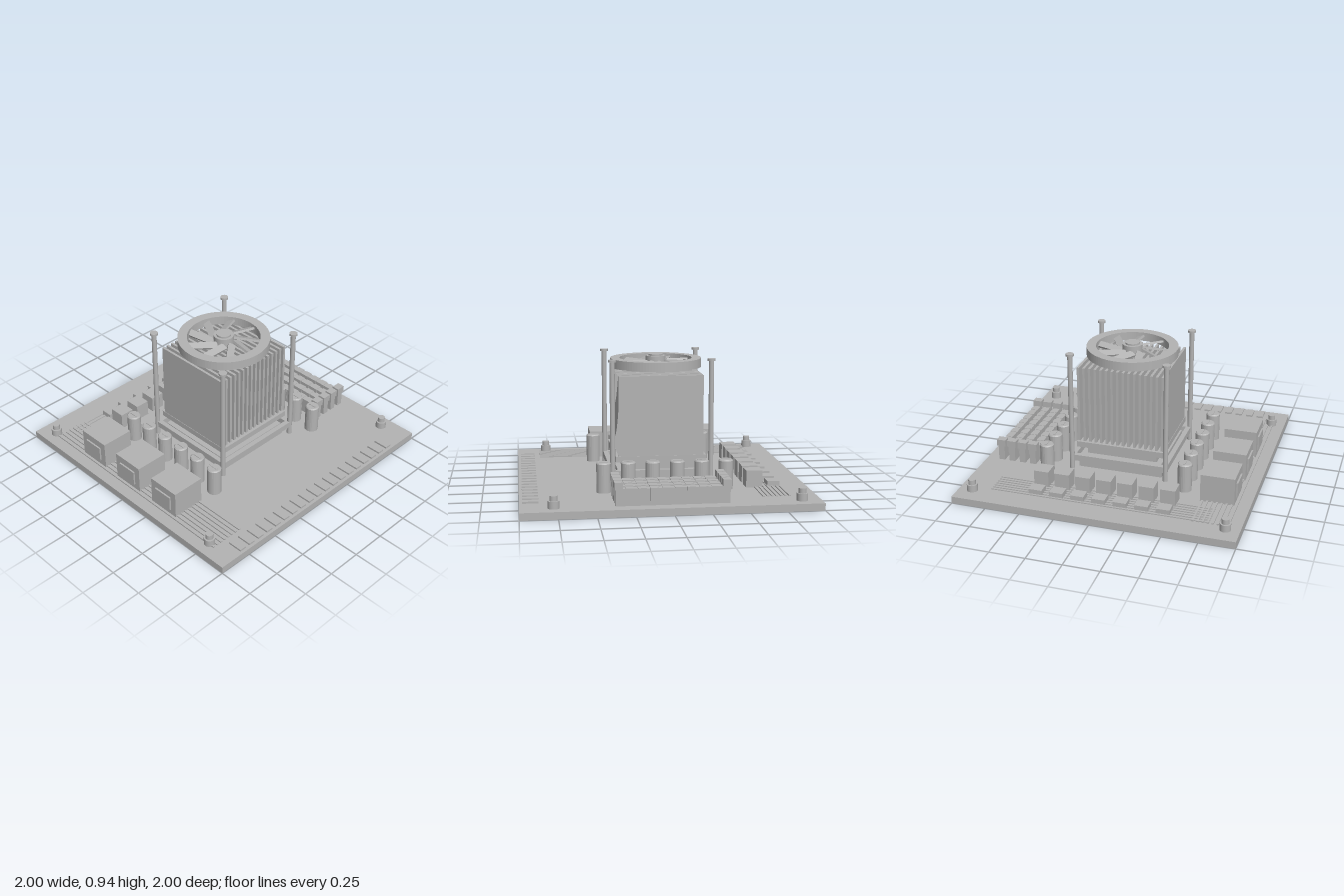
import * as THREE from 'three';

const grey = new THREE.MeshStandardMaterial({ color: 0xb3b3b3 });
grey.name = 'plain grey';

export function createModel() {
  const model = new THREE.Group();
  model.name = 'circuitBoard';

  const add = (name, geo, x, y, z, parent = model) => {
    const m = new THREE.Mesh(geo, grey);
    m.name = name;
    m.position.set(x, y, z);
    parent.add(m);
    return m;
  };
  // box given by centre x/z, size x/z and bottom/top heights
  const box = (name, x, z, w, d, y0, y1, parent) =>
    add(name, new THREE.BoxGeometry(w, y1 - y0, d), x, (y0 + y1) / 2, z, parent);
  // upright cylinder between two heights
  const cyl = (name, x, z, r, y0, y1, sides = 24, parent) =>
    add(name, new THREE.CylinderGeometry(r, r, y1 - y0, sides), x, (y0 + y1) / 2, z, parent);

  box('board', 0, 0, 2, 2, 0, 0.05);

  // corner standoffs
  for (const x of [-0.9, 0.9]) for (const z of [-0.868, 0.778]) {
    cyl('standoffBase', x, z, 0.038, 0.05, 0.1);
    cyl('standoffTop', x, z, 0.026, 0.1, 0.135);
  }

  // edge contacts along the front
  for (let i = 0; i < 19; i++) box('edgeContact', -0.787 + i * 0.0847, 0.925, 0.05, 0.108, 0.05, 0.063);

  // long and cross traces
  for (let i = 0; i < 8; i++) box('sideTrace', -0.908 + i * 0.0342, 0, 0.014, 1.66, 0.05, 0.059);
  for (let i = 0; i < 7; i++) box('backTrace', 0, -0.815 + i * 0.03, 1.56, 0.014, 0.05, 0.057);

  // port housings with raised outer panels
  for (const z of [-0.427, -0.056, 0.316]) {
    box('portHousing', -0.77, z, 0.24, 0.243, 0.05, 0.25);
    box('portPanel', -0.896, z, 0.012, 0.15, 0.09, 0.198);
  }

  // capacitors with bevelled rims
  const capProfile = [[0, 0.05], [0.05, 0.05], [0.05, 0.25], [0.043, 0.258], [0, 0.258]]
    .map(([r, y]) => new THREE.Vector2(r, y));
  const capGeo = new THREE.LatheGeometry(capProfile, 24).toNonIndexed();
  capGeo.computeVertexNormals();
  for (const x of [-0.51, 0.51]) for (let i = 0; i < 6; i++) {
    const z = -0.425 + i * 0.1695;
    add('capacitor', capGeo, x, 0, z);
    box('capacitorMark', x, z, 0.012, 0.06, 0.256, 0.262);
  }

  // power blocks in two rows at the back
  for (let i = 0; i < 7; i++) {
    box('lowBlock', -0.458 + i * 0.1525, -0.765, 0.095, 0.086, 0.05, 0.09);
    box('tallBlock', -0.458 + i * 0.1525, -0.628, 0.106, 0.114, 0.05, 0.17);
  }

  // memory slots with end clips and chips
  for (let i = 0; i < 4; i++) {
    const x = 0.643 + i * 0.081;
    box('memorySlot', x, -0.002, 0.046, 0.76, 0.05, 0.165);
    for (const z of [-0.36, 0.357]) box('memoryClip', x, z, 0.066, 0.056, 0.16, 0.21);
    for (let k = 0; k < 8; k++) box('memoryChip', x, -0.285 + k * 0.081, 0.054, 0.055, 0.08, 0.168);
  }

  // processor socket and frame
  box('socketBase', 0, 0, 0.62, 0.62, 0.05, 0.11);
  box('processorPlate', 0, 0, 0.6, 0.6, 0.11, 0.14);
  box('processor', 0, 0, 0.52, 0.52, 0.14, 0.21);
  for (const s of [-1, 1]) {
    box('frameRail', 0, s * 0.34, 0.68, 0.036, 0.115, 0.16);
    box('frameRail', s * 0.34, 0, 0.036, 0.68, 0.115, 0.16);
  }

  // heat sink
  box('heatSinkBase', 0, 0, 0.64, 0.64, 0.21, 0.252);
  for (let i = 0; i < 16; i++) box('heatSinkFin', -0.308 + i * 0.0411, 0, 0.018, 0.6, 0.252, 0.818);

  // tall corner posts
  for (const x of [-0.348, 0.348]) for (const z of [-0.348, 0.345]) {
    cyl('framePost', x, z, 0.018, 0.05, 0.925, 16);
    cyl('postHead', x, z, 0.029, 0.922, 0.938, 16);
  }

  // fan ring, hub and slanted blades
  const fan = new THREE.Group();
  fan.name = 'fan';
  model.add(fan);
  const ringShape = new THREE.Shape().absarc(0, 0, 0.328, 0, Math.PI * 2);
  ringShape.holes.push(new THREE.Path().absarc(0, 0, 0.26, 0, Math.PI * 2, true));
  const ringGeo = new THREE.ExtrudeGeometry(ringShape, { depth: 0.064, bevelEnabled: false, curveSegments: 48 });
  ringGeo.rotateX(-Math.PI / 2);
  add('fanRing', ringGeo, 0, 0.846, 0, fan);
  cyl('fanHub', 0, 0, 0.072, 0.84, 0.925, 32, fan);
  cyl('fanHubCap', 0, 0, 0.052, 0.925, 0.937, 32, fan);
  for (let i = 0; i < 9; i++) {
    const arm = new THREE.Group();
    arm.name = 'fanBlade';
    arm.rotation.y = -i * Math.PI * 2 / 9;
    const blade = box('blade', -0.158, 0.06, 0.215, 0.052, 0.869, 0.885, arm);
    blade.rotation.x = 0.4;
    fan.add(arm);
  }
  return model;
}
